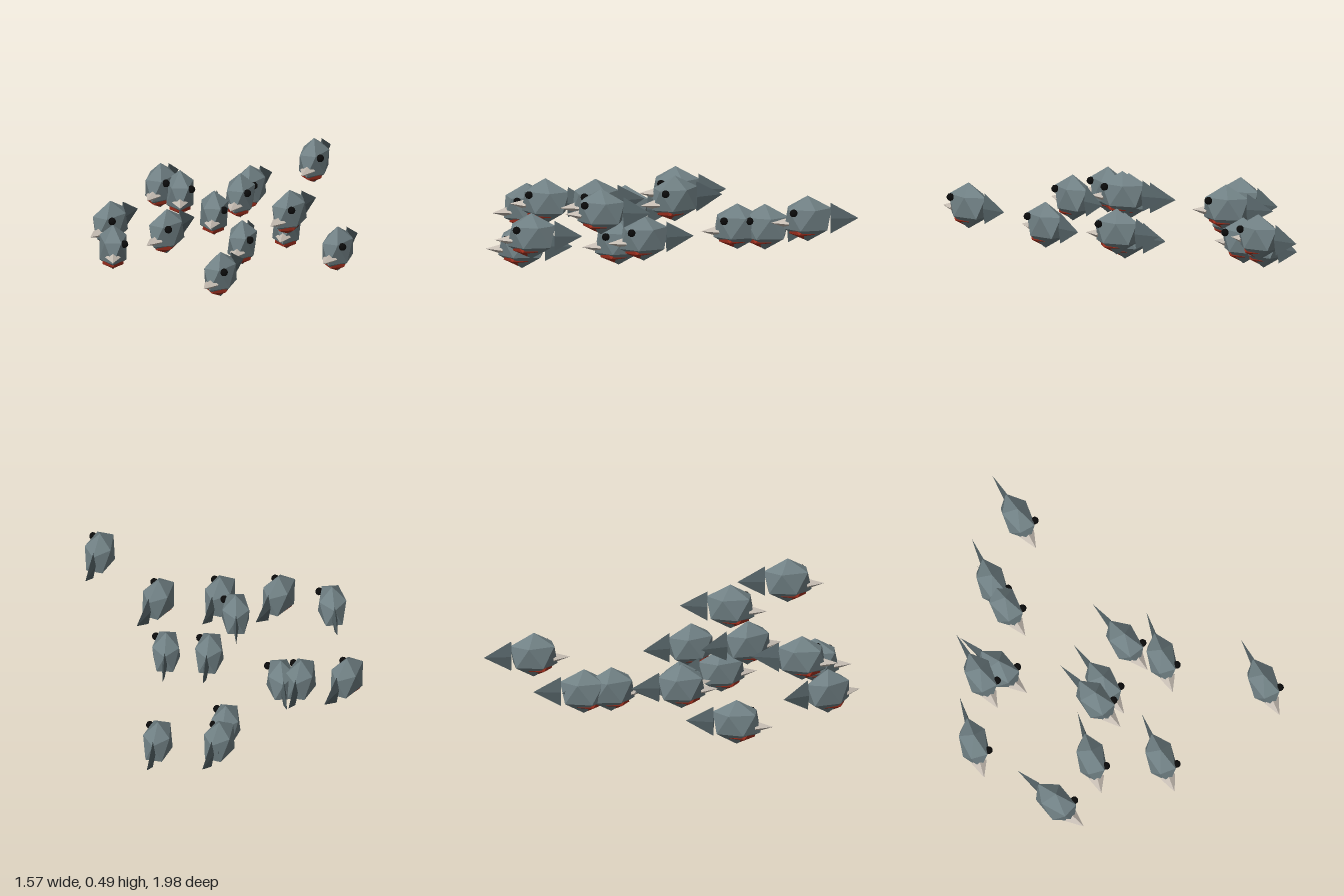
import * as THREE from 'three';

const material = (name, color) => {
  const m = new THREE.MeshStandardMaterial({ color });
  m.name = name;
  return m;
};

// Faceted icosahedron standing on a corner, with its upper ring pointing back
function gem(rx, ry, rz) {
  return new THREE.IcosahedronGeometry(1, 0)
    .rotateX(-Math.atan((1 + Math.sqrt(5)) / 2))
    .rotateY(Math.PI)
    .scale(rx, ry, rz);
}

// Faceted four-sided spike along z; dir is 1 for forward, -1 for backward
function spike(halfWidth, halfHeight, length, dir) {
  const g = new THREE.ConeGeometry(1, 1, 4)
    .rotateX(dir * Math.PI / 2)
    .scale(halfWidth, halfHeight, length)
    .toNonIndexed();
  g.computeVertexNormals();
  return g;
}

// Each fish: x, y, z of the body centre, then its heading
const SCHOOL = [
  [0.185, 0.264, -0.725, -0.08],
  [-0.115, 0.152, -0.53, -0.2],
  [-0.13, 0.155, -0.385, -0.02],
  [-0.49, 0.279, -0.095, -0.11],
  [-0.38, 0.254, -0.08, 0.26],
  [-0.7, 0.132, 0.15, -0.32],
  [-0.075, 0.321, 0.375, 0.15],
  [0.05, 0.13, 0.265, 0.01],
  [0.265, 0.2, 0.155, 0.07],
  [0.34, 0.367, 0.39, -0.3],
  [-0.545, 0.195, 0.69, 0.25],
  [-0.27, 0.284, 0.62, -0.33],
  [0.065, 0.128, 0.78, -0.22],
  [0.71, 0.334, 0.8, -0.15],
];

export function createModel() {
  const slate = material('slate scales', 0x708084);
  const darkSlate = material('dark slate fin', 0x566468);
  const bone = material('pale jaw', 0xc4bbb1);
  const red = material('red belly', 0xa83220);
  const black = material('black eye', 0x0a0a0a);

  // Shared parts: name, geometry, material, position
  const parts = [
    ['body', gem(0.084, 0.124, 0.142), slate, [0, 0, 0]],
    ['belly', gem(0.066, 0.06, 0.085), red, [0, -0.053, 0.022]],
    ['jaw', spike(0.042, 0.03, 0.095, 1), bone, [0, -0.024, 0.147]],
    ['tail', spike(0.014, 0.083, 0.147, -1), darkSlate, [0, 0, -0.195]],
    ['eye', new THREE.IcosahedronGeometry(0.021, 1), black, [0.06, 0.042, 0.076]],
  ];

  const group = new THREE.Group();
  group.name = 'school';
  for (const [x, y, z, heading] of SCHOOL) {
    const fish = new THREE.Group();
    fish.name = 'fish';
    for (const [name, geometry, mat, position] of parts) {
      const mesh = new THREE.Mesh(geometry, mat);
      mesh.name = name;
      mesh.position.set(...position);
      fish.add(mesh);
    }
    fish.position.set(x, y, z);
    fish.rotation.y = heading;
    group.add(fish);
  }
  return group;
}
